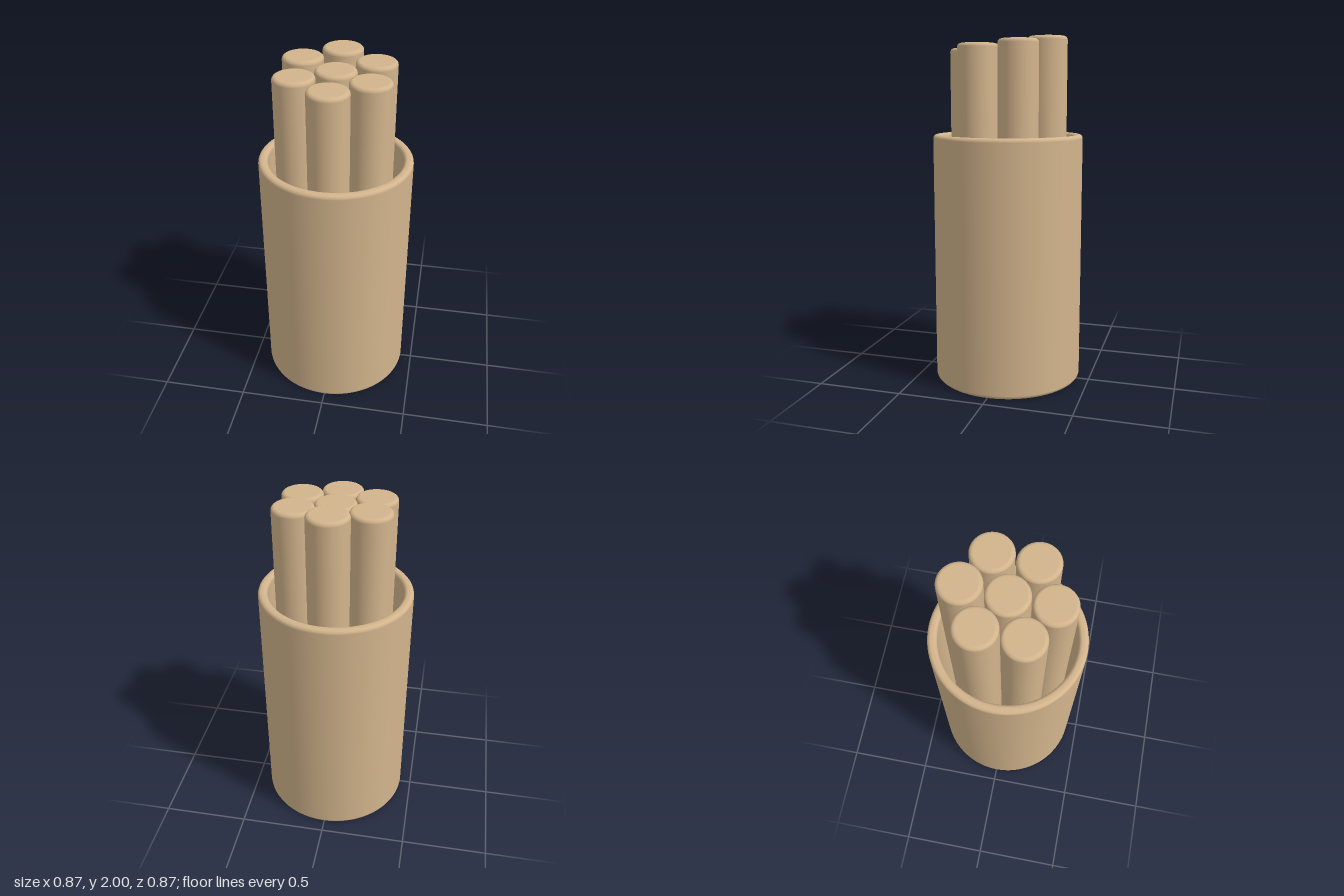
import * as THREE from 'three';

// Adds a quarter-round corner to a lathe profile
function fillet(points, cx, cy, r, start, end, steps = 6) {
  for (let i = 0; i <= steps; i++) {
    const a = THREE.MathUtils.degToRad(start + (end - start) * i / steps);
    points.push(new THREE.Vector2(cx + r * Math.cos(a), cy + r * Math.sin(a)));
  }
}

// Solid round rod with softened ends
function rodGeometry(radius, length, r) {
  const p = [new THREE.Vector2(0, 0)];
  fillet(p, radius - r, r, r, -90, 0);
  fillet(p, radius - r, length - r, r, 0, 90);
  p.push(new THREE.Vector2(0, length));
  return new THREE.LatheGeometry(p, 64);
}

// Open cup with softened base and rim
function cupGeometry(outer, inner, height, floor, r) {
  const p = [new THREE.Vector2(0, 0)];
  fillet(p, outer - r, r, r, -90, 0);
  fillet(p, outer - r, height - r, r, 0, 90);
  fillet(p, inner + r, height - r, r, 90, 180);
  // doubled corner keeps the wall and floor crisp
  p.push(new THREE.Vector2(inner, floor + 0.002), new THREE.Vector2(inner, floor));
  p.push(new THREE.Vector2(inner - 0.002, floor), new THREE.Vector2(0, floor));
  return new THREE.LatheGeometry(p, 96);
}

export function createModel() {
  const model = new THREE.Group();
  const tan = new THREE.MeshStandardMaterial({ color: 0xd2b48c });
  tan.name = 'tan';

  const floor = 0.055;
  const cup = new THREE.Mesh(cupGeometry(0.433, 0.379, 1.45, floor, 0.022), tan);
  cup.name = 'cup';
  model.add(cup);

  // One central rod and six around it, each a little different in height
  const rods = new THREE.Group();
  rods.name = 'rods';
  const addRod = (name, x, z, top) => {
    const rod = new THREE.Mesh(rodGeometry(0.113, top - floor, 0.022), tan);
    rod.name = name;
    rod.position.set(x, floor, z);
    rods.add(rod);
  };
  addRod('centreRod', 0, 0, 1.96);
  const tops = [1.94, 1.955, 1.975, 2.0, 1.98, 1.955];
  tops.forEach((top, i) => {
    const a = i * Math.PI / 3;
    addRod('outerRod' + (i + 1), 0.231 * Math.sin(a), 0.231 * Math.cos(a), top);
  });
  model.add(rods);
  return model;
}
